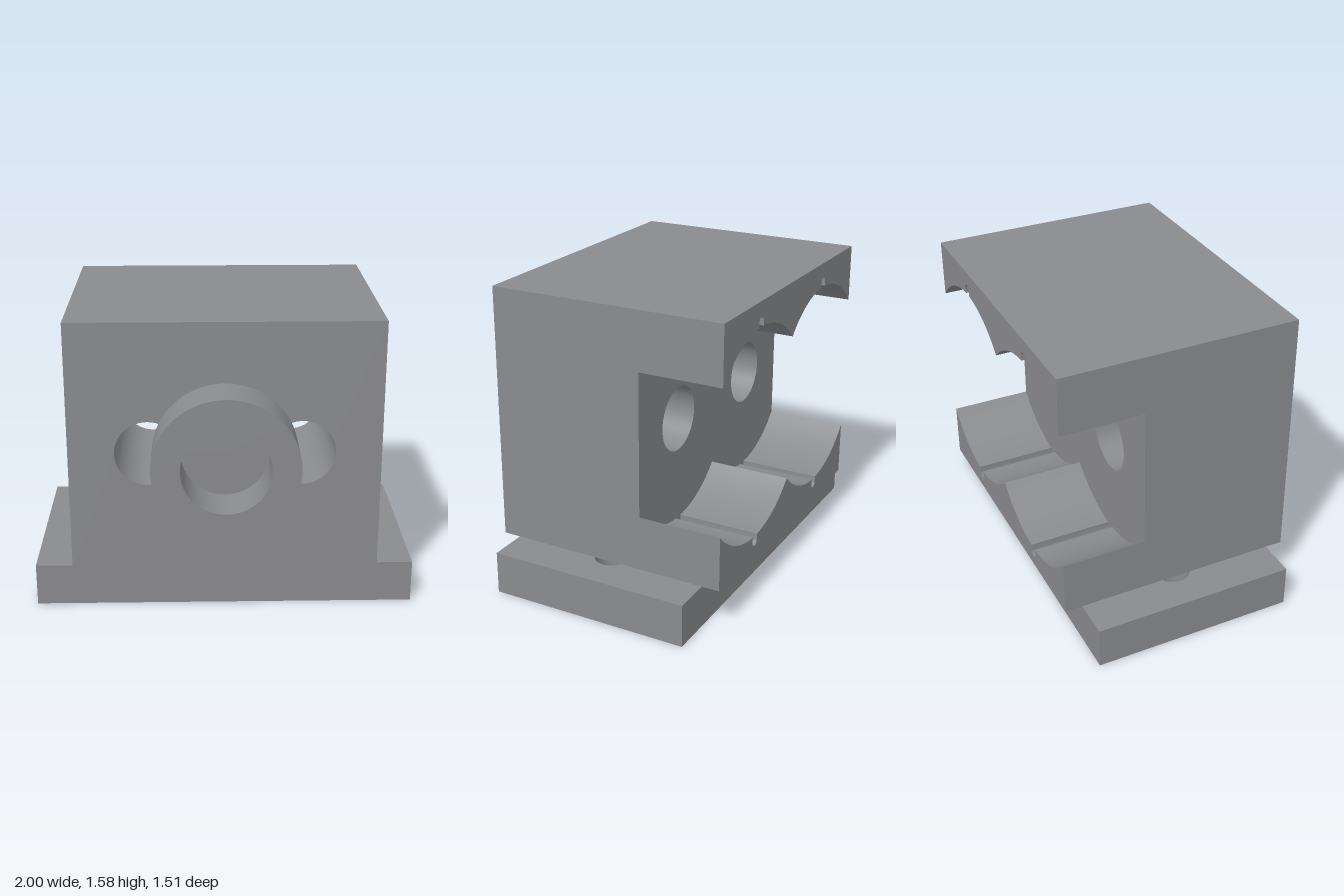
import * as THREE from 'three';
import { toCreasedNormals } from 'three/addons/utils/BufferGeometryUtils.js';

const grey = new THREE.MeshStandardMaterial({ color: 0x8a8b8f });
grey.name = 'grey plastic';

const AXIS_Y = 0.892; // height of the boss and bore centres
const BORE_X = 0.39;  // sideways offset of the twin bores

function extrude(shape, depth) {
  const g = new THREE.ExtrudeGeometry(shape, { depth, bevelEnabled: false, curveSegments: 40 });
  return toCreasedNormals(g, 0.6);
}

function addPart(group, name, geometry) {
  const mesh = new THREE.Mesh(geometry, grey);
  mesh.name = name;
  group.add(mesh);
  return mesh;
}

function rectangle(x0, y0, x1, y1) {
  return new THREE.Shape([[x0, y0], [x1, y0], [x1, y1], [x0, y1]].map(([x, y]) => new THREE.Vector2(x, y)));
}

function cutHole(shape, x, y, r) {
  const p = new THREE.Path();
  p.absarc(x, y, r, 0, Math.PI * 2, true);
  shape.holes.push(p);
}

// Rear jaw: flat outside, two round scallops inside, each with a small groove at its crown
function jawShape(outer) {
  const w = 0.795, R = 0.554, n = 0.025, neck = 0.585;
  const half = [];
  const arc = (cy, r, from, to, steps) => {
    for (let i = 0; i <= steps; i++) {
      const a = from + (to - from) * i / steps;
      half.push(new THREE.Vector2(BORE_X + r * Math.cos(a), cy + r * Math.sin(a)));
    }
  };
  // right half, from the middle cusp out to the side
  const d = Math.asin(n / R);
  arc(0, R, Math.PI - Math.acos(BORE_X / R), Math.PI / 2 + d, 14);
  arc(neck, n, Math.PI, 0, 10);
  arc(0, R, Math.PI / 2 - d, Math.acos((w - BORE_X) / R), 14);
  half.push(new THREE.Vector2(w, outer));
  // mirrored left half, leaving out the shared cusp
  const left = half.slice(1).reverse().map((p) => new THREE.Vector2(-p.x, p.y));
  return new THREE.Shape([...left, ...half]);
}

export function createModel() {
  const group = new THREE.Group();
  group.name = 'mountingBracket';

  // Base plate with two screw holes
  const baseShape = rectangle(-1, -0.41, 1, 0.662);
  for (const side of [-1, 1]) cutHole(baseShape, side * 0.75, 0.13, 0.09);
  const base = extrude(baseShape, 0.225);
  base.rotateX(-Math.PI / 2);
  addPart(group, 'basePlate', base);

  // Main block with twin through holes
  const blockShape = rectangle(-0.795, 0.225, 0.795, 1.575);
  for (const side of [-1, 1]) cutHole(blockShape, side * BORE_X, AXIS_Y, 0.17);
  addPart(group, 'mainBlock', extrude(blockShape, 0.817)).position.z = -0.315;

  // Upper and lower rear jaws
  const upper = extrude(jawShape(1.575 - AXIS_Y), 0.44);
  addPart(group, 'upperJaw', upper).position.set(0, AXIS_Y, -0.755);
  const lower = extrude(jawShape(AXIS_Y - 0.225), 0.44);
  lower.rotateZ(Math.PI);
  addPart(group, 'lowerJaw', lower).position.set(0, AXIS_Y, -0.755);

  // Front boss with a blind socket
  const ring = new THREE.Shape();
  ring.absarc(0, 0, 0.37, 0, Math.PI * 2, false);
  cutHole(ring, 0, 0, 0.225);
  addPart(group, 'frontBoss', extrude(ring, 0.255)).position.set(0, AXIS_Y, 0.5);

  // Socket floor covers the bore end
  const floor = new THREE.CircleGeometry(0.225, 48);
  addPart(group, 'socketFloor', floor).position.set(0, AXIS_Y, 0.504);

  return group;
}
